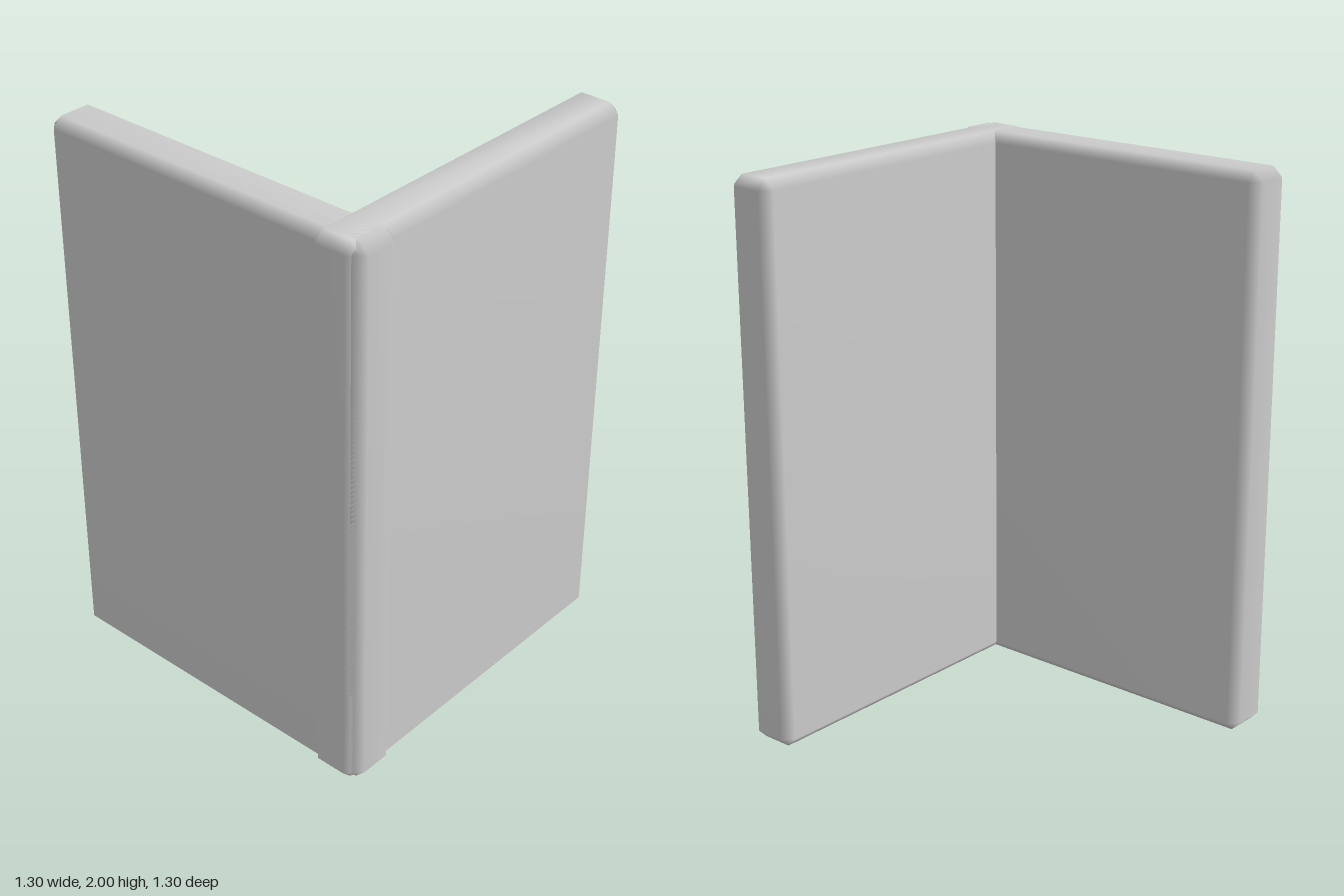
import * as THREE from 'three';
import { ConvexGeometry } from 'three/addons/geometries/ConvexGeometry.js';
import { mergeVertices } from 'three/addons/utils/BufferGeometryUtils.js';

const HEIGHT = 2, LENGTH = 1.3, THICK = 0.18, BEVEL = 0.035;

// Box with every edge and corner cut, shaded smoothly across the cuts
function bevelledBox(w, h, d, b) {
  const points = [];
  for (const sx of [-1, 1]) for (const sy of [-1, 1]) for (const sz of [-1, 1]) {
    for (let axis = 0; axis < 3; axis++) {
      const inset = [b, b, b];
      inset[axis] = 0;
      points.push(new THREE.Vector3(
        sx * (w / 2 - inset[0]), sy * (h / 2 - inset[1]), sz * (d / 2 - inset[2])));
    }
  }
  const hull = new ConvexGeometry(points);
  hull.deleteAttribute('normal');
  const geometry = mergeVertices(hull, 1e-4);
  geometry.computeVertexNormals();
  return geometry;
}

export function createModel() {
  const group = new THREE.Group();
  group.name = 'cornerWall';
  const material = new THREE.MeshStandardMaterial({ color: 0xcccccc });

  const addWall = (name, w, d, x, z) => {
    const wall = new THREE.Mesh(bevelledBox(w, HEIGHT, d, BEVEL), material);
    wall.name = name;
    wall.position.set(x, HEIGHT / 2, z);
    group.add(wall);
  };

  // Two slabs crossing at the corner, each end standing slightly proud of the other slab
  const offset = 0.546;
  addWall('frontWall', LENGTH, THICK, 0, offset);
  addWall('leftWall', THICK, LENGTH, offset, 0);
  return group;
}
